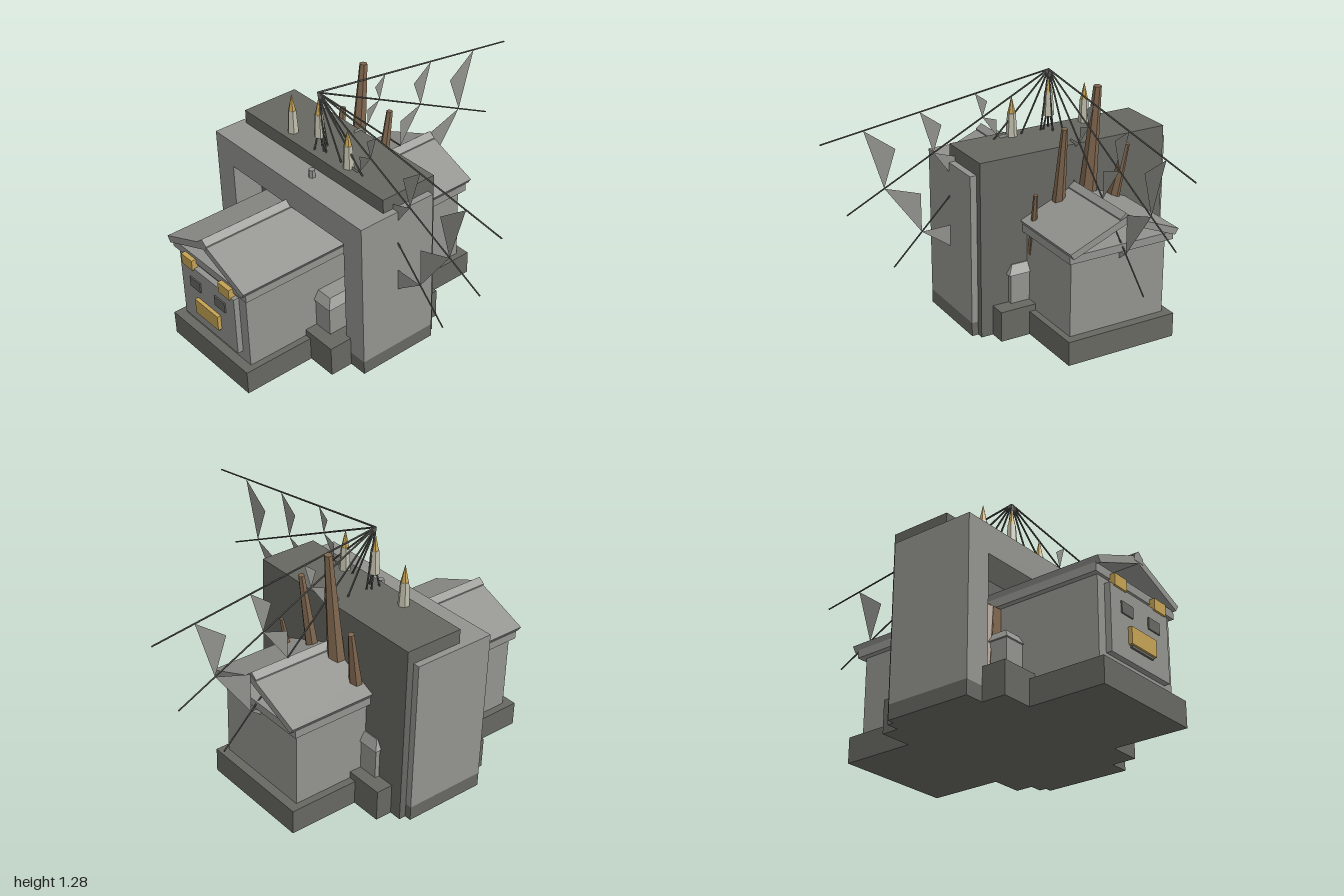
import * as THREE from 'three';

const mat = (name, color, side = THREE.FrontSide) => {
  const m = new THREE.MeshStandardMaterial({ color, side });
  m.name = name;
  return m;
};

export function createModel() {
  const stone = mat('light stone', 0x92938e);
  const dark = mat('dark stone', 0x666761);
  const gold = mat('gold', 0xc4a254);
  const wood = mat('brown wood', 0x80674f);
  const wax = mat('pale wax', 0xbdbcaa);
  const cableMat = mat('cable grey', 0x585954);
  const cloth = mat('grey cloth', 0x90918c, THREE.DoubleSide);

  const model = new THREE.Group();
  model.name = 'shrine';
  const CX = -0.343; // axis of the building

  function add(name, geo, material, parent = model) {
    const flat = geo.index ? geo.toNonIndexed() : geo;
    flat.computeVertexNormals();
    const mesh = new THREE.Mesh(flat, material);
    mesh.name = name;
    parent.add(mesh);
    return mesh;
  }
  // box given by its extents; the top can be inset to make a frustum
  function box(name, [x0, x1], [y0, y1], [z0, z1], material, inset = 0) {
    const g = new THREE.BoxGeometry(x1 - x0, y1 - y0, z1 - z0);
    const p = g.attributes.position;
    for (let i = 0; i < p.count; i++) {
      if (p.getY(i) < 0) continue;
      p.setX(i, p.getX(i) - Math.sign(p.getX(i)) * inset);
      p.setZ(i, p.getZ(i) - Math.sign(p.getZ(i)) * inset);
    }
    g.translate((x0 + x1) / 2, (y0 + y1) / 2, (z0 + z1) / 2);
    return add(name, g, material);
  }
  // tapered rod between two points
  function rod(name, a, b, r0, r1, sides, material, parent) {
    const A = new THREE.Vector3(...a), B = new THREE.Vector3(...b);
    const dir = B.clone().sub(A);
    const g = new THREE.CylinderGeometry(r1, r0, dir.length(), sides);
    g.applyQuaternion(new THREE.Quaternion().setFromUnitVectors(
      new THREE.Vector3(0, 1, 0), dir.normalize()));
    g.translate(...A.add(B).multiplyScalar(0.5).toArray());
    return add(name, g, material, parent);
  }
  // outline in x and y, extruded along z
  function prism(name, points, z0, z1, material) {
    const s = new THREE.Shape(points.map(([x, y]) => new THREE.Vector2(x, y)));
    const g = new THREE.ExtrudeGeometry(s, { depth: z1 - z0, bevelEnabled: false });
    g.translate(0, 0, z0);
    return add(name, g, material);
  }

  // plinths
  box('longPlinth', [-0.655, -0.031], [0, 0.13], [-0.47, 1.0], dark);
  box('crossPlinth', [-0.82, 0.134], [0, 0.165], [-0.09, 0.61], dark);

  // portal: light frame around a dark core
  box('portalCore', [-0.885, 0.2], [0, 0.955], [0, 0.32], dark);
  prism('portalFrame', [
    [-0.92, 0.075], [-0.785, 0.075], [-0.785, 0.73], [0.1, 0.73],
    [0.1, 0.075], [0.235, 0.075], [0.235, 0.88], [-0.92, 0.88],
  ], 0.037, 0.485, stone);
  box('leftFooting', [0.1, 0.235], [0, 0.075], [0.037, 0.485], dark);
  box('rightFooting', [-0.92, -0.785], [0, 0.075], [0.037, 0.485], dark);

  // long hall with cornice and hollow gabled roof
  box('hallWalls', [-0.616, -0.066], [0.13, 0.54], [-0.42, 0.95], stone);
  box('hallCornice', [-0.645, -0.041], [0.54, 0.582], [-0.45, 0.965], stone);
  prism('hallRoof', [
    [CX - 0.315, 0.605], [CX - 0.295, 0.575], [CX, 0.695],
    [CX + 0.295, 0.575], [CX + 0.315, 0.605], [CX, 0.735],
  ], -0.475, 0.985, stone);
  prism('roofRidge', [
    [CX - 0.033, 0.7], [CX + 0.033, 0.7], [CX + 0.033, 0.728],
    [CX, 0.755], [CX - 0.033, 0.728],
  ], -0.472, 0.987, stone);

  // low transept with sloped cap
  box('transept', [-0.725, 0.042], [0.165, 0.325], [-0.025, 0.54], stone);
  box('transeptCap', [-0.735, 0.055], [0.325, 0.372], [-0.035, 0.55], stone, 0.03);

  // front panel with face-like details
  box('frontPanel', [-0.565, -0.124], [0.185, 0.515], [0.95, 0.98], stone);
  for (const s of [-1, 1]) {
    const span = (a, b) => (s < 0 ? [CX - b, CX - a] : [CX + a, CX + b]);
    box('window', span(0.06, 0.145), [0.395, 0.452], [0.975, 0.987], dark);
    box('goldBracket', span(0.108, 0.197), [0.507, 0.565], [0.955, 0.99], gold);
  }
  box('goldPlaque', [-0.438, -0.25], [0.262, 0.345], [0.97, 1.0], gold);
  box('plaqueLedge', [-0.425, -0.26], [0.25, 0.262], [0.97, 0.99], dark);

  // figure inside the roof space: crown and raised arm
  rod('crown', [-0.365, 0.58, 0.4], [-0.365, 0.65, 0.4], 0.025, 0.065, 6, gold);
  rod('raisedArm', [-0.27, 0.56, 0.4], [-0.268, 0.87, 0.375], 0.035, 0.02, 6, stone);
  rod('armTip', [-0.268, 0.86, 0.375], [-0.268, 0.922, 0.375], 0.02, 0.017, 6, stone);

  // wood in the niche
  rod('nichePost', [-0.745, 0.16, 0.44], [-0.69, 0.52, 0.4], 0.022, 0.035, 6, wood);
  box('nicheBeam', [-0.71, -0.6], [0.36, 0.535], [0.36, 0.42], wood);
  rod('nicheStake', [0.07, 0.16, 0.42], [0.08, 0.355, 0.42], 0.03, 0.008, 5, wood);

  // leaning stakes at the back: base x, base y, tip x, tip y, tip z, radius
  [
    [-0.56, 0.6, -0.595, 0.94, -0.09, 0.036],
    [-0.41, 0.68, -0.415, 1.275, -0.085, 0.046],
    [-0.235, 0.62, -0.225, 1.085, -0.09, 0.036],
    [-0.085, 0.42, -0.065, 0.765, -0.085, 0.025],
  ].forEach(([x, y, tx, ty, tz, r]) =>
    rod('backStake', [x, y, -0.02], [tx, ty, tz], r, r * 0.45, 6, wood));

  // candles on the portal
  [[-0.56, 0], [CX, 0.075], [-0.125, 0]].forEach(([x, lift]) => {
    const c = new THREE.Group();
    c.name = 'candle';
    c.position.set(x, 0.955 + lift, 0.26);
    model.add(c);
    rod('candleBody', [0, 0, 0], [0, 0.125, 0], 0.03, 0.022, 6, wax, c);
    rod('flame', [0, 0.125, 0], [0, 0.213, 0], 0.02, 0.001, 6, gold, c);
  });
  for (let i = 0; i < 3; i++) {
    const a = i * Math.PI * 2 / 3;
    rod('candleStandLeg', [CX + 0.03 * Math.cos(a), 0.95, 0.26 + 0.03 * Math.sin(a)],
      [CX + 0.01 * Math.cos(a), 1.04, 0.26 + 0.01 * Math.sin(a)], 0.005, 0.005, 5, cableMat);
  }

  // two fans of cables, towards +x and towards -z, with cloth stretched between
  const angles = [-7.9, -26.3, -45, -63.4, -82].map(THREE.MathUtils.degToRad);
  for (const turn of [0, Math.PI / 2]) {
    const fan = new THREE.Group();
    fan.name = 'cableFan';
    fan.position.set(CX, 1.275, 0.26);
    fan.rotation.y = turn;
    model.add(fan);
    const at = (r, a) => [r * Math.cos(a), r * Math.sin(a), 0];
    angles.forEach((a, i) => {
      rod('cable', [0, 0, 0], at(1.272, a), 0.005, 0.004, 5, cableMat, fan);
      if (i === 0) return;
      for (const r of [0.43, 0.74, 1.045]) {
        const mid = (a + angles[i - 1]) / 2;
        const g = new THREE.BufferGeometry();
        g.setAttribute('position', new THREE.Float32BufferAttribute(
          [...at(r, angles[i - 1]), ...at(r * 0.87, mid), ...at(r, a)], 3));
        add('clothPennant', g, cloth, fan);
      }
    });
  }
  return model;
}
